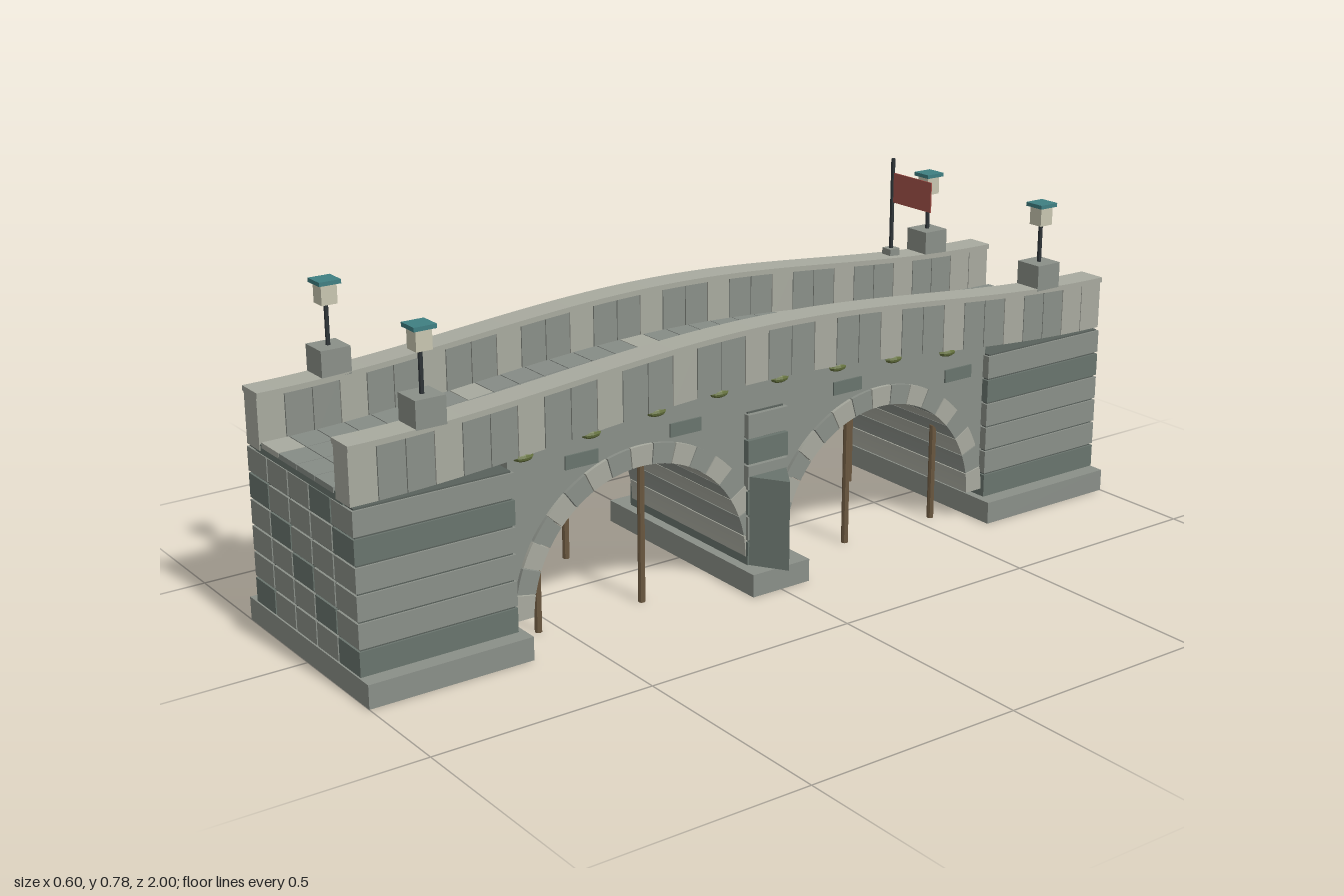
import * as THREE from 'three';

const mat = (color, side = THREE.FrontSide) =>
  new THREE.MeshStandardMaterial({ color, side, flatShading: true });
const M = {
  stone: mat(0x8a8f88), light: mat(0xa8aa9f), dark: mat(0x69746d), paving: mat(0x868c86),
  core: mat(0x59615c), wood: mat(0x6b5840), iron: mat(0x2d3336), teal: mat(0x3f7f82),
  glass: mat(0xc8c6b0), moss: mat(0x66733f), cloth: mat(0xa5524a, THREE.DoubleSide),
};

// Height of the hump added to everything that follows the roadway
const rise = z => 0.03 * (1 + Math.cos(Math.PI * z));

const SPAN = 0.325, SPRING = 0.07, R_IN = 0.27, R_OUT = 0.315;

export function createModel() {
  const root = new THREE.Group();
  root.name = 'stoneBridge';

  const group = name => {
    const g = new THREE.Group();
    g.name = name;
    root.add(g);
    return g;
  };
  const add = (parent, name, geo, material, x = 0, y = 0, z = 0) => {
    const m = new THREE.Mesh(geo, material);
    m.name = name;
    m.position.set(x, y, z);
    parent.add(m);
    return m;
  };
  // Box given by its lower and upper bounds
  const block = (parent, name, material, x0, x1, y0, y1, z0, z1) =>
    add(parent, name, new THREE.BoxGeometry(x1 - x0, y1 - y0, z1 - z0), material,
      (x0 + x1) / 2, (y0 + y1) / 2, (z0 + z1) / 2);
  // Box whose vertices are lifted along the hump
  const humpBlock = (parent, name, material, x0, x1, y0, y1, z0, z1, segs = 1) => {
    const geo = new THREE.BoxGeometry(x1 - x0, y1 - y0, z1 - z0, 1, 1, segs);
    geo.translate((x0 + x1) / 2, (y0 + y1) / 2, (z0 + z1) / 2);
    const p = geo.attributes.position;
    for (let i = 0; i < p.count; i++) p.setY(i, p.getY(i) + rise(p.getZ(i)));
    geo.computeVertexNormals();
    return add(parent, name, geo, material);
  };
  // Extrude a (z, y) outline across the width of the bridge
  const across = (shape, width) => {
    const geo = new THREE.ExtrudeGeometry(shape, { depth: width, bevelEnabled: false, curveSegments: 24 });
    return geo.translate(0, 0, -width / 2).rotateY(-Math.PI / 2);
  };

  // Abutments: footing, dark core showing in the joints, courses of long blocks
  const ROW = 0.0583, COL = 0.0925;
  for (const s of [1, -1]) {
    const g = group(s > 0 ? 'frontAbutment' : 'backAbutment');
    const zs = (a, b) => (s > 0 ? [a, b] : [-b, -a]);
    block(g, 'footing', M.stone, -0.262, 0.262, 0, 0.052, ...zs(0.625, 1));
    block(g, 'core', M.core, -0.224, 0.224, 0.05, 0.402, ...zs(0.645, 0.993));
    for (let r = 0; r < 6; r++) {
      for (let c = 0; c < 5; c++) {
        const x = -0.2315 + c * COL, y = 0.054 + r * ROW;
        block(g, 'abutmentBlock', (c + r) % 4 === 0 ? M.dark : M.stone,
          x + 0.0025, x + COL - 0.0025, y, y + ROW - 0.005, ...zs(0.64, 0.998));
      }
    }
  }

  // Spandrel wall with the two arch openings
  const wall = new THREE.Shape();
  wall.moveTo(-0.645, SPRING);
  for (let i = 0; i <= 32; i++) {
    const z = -0.645 + (1.29 * i) / 32;
    wall.lineTo(z, 0.405 + rise(z));
  }
  wall.lineTo(0.645, SPRING);
  wall.absarc(SPAN, SPRING, 0.29, 0, Math.PI, false);
  wall.absarc(-SPAN, SPRING, 0.29, 0, Math.PI, false);
  wall.closePath();
  const spandrel = group('spandrel');
  add(spandrel, 'spandrelWall', across(wall, 0.42), M.stone);
  for (const s of [1, -1]) {
    for (const [z, y] of [[0.21, 0.4], [-0.23, 0.405], [0.47, 0.385], [-0.56, 0.37]]) {
      block(spandrel, 'accentStone', M.dark, s * 0.21 - 0.004, s * 0.21 + 0.004,
        y - 0.015, y + 0.015, z - 0.04, z + 0.04);
    }
  }

  // Arch rings of full-width wedge stones
  const STONES = 17;
  for (const s of [1, -1]) {
    const g = group(s > 0 ? 'frontArch' : 'backArch');
    for (let i = 0; i < STONES; i++) {
      const a = (Math.PI * i) / STONES + 0.004, b = (Math.PI * (i + 1)) / STONES - 0.004;
      const wedge = new THREE.Shape();
      wedge.absarc(0, 0, R_OUT, a, b, false);
      wedge.absarc(0, 0, R_IN, b, a, true);
      wedge.closePath();
      const geo = new THREE.ExtrudeGeometry(wedge, { depth: 0.436, bevelEnabled: false, curveSegments: 3 });
      geo.translate(0, 0, -0.218).rotateY(-Math.PI / 2);
      add(g, 'archStone', geo, i % 2 ? M.stone : M.light, 0, SPRING, s * SPAN);
    }
    // Timber props reaching the underside of the arch
    for (const x of [-0.15, 0.15]) {
      for (const z of [0.283, 0.545]) {
        const top = SPRING + Math.sqrt(R_IN ** 2 - (z - SPAN) ** 2) + 0.005;
        add(g, 'timberProp', new THREE.CylinderGeometry(0.008, 0.008, top, 8), M.wood, x, top / 2, s * z);
      }
    }
  }

  // Central pier with pointed cutwaters
  const pier = group('pier');
  block(pier, 'pierFooting', M.stone, -0.276, 0.276, 0, 0.052, -0.077, 0.077);
  block(pier, 'pierCore', M.core, -0.214, 0.214, 0.05, 0.4, -0.048, 0.048);
  for (let r = 0; r < 6; r++) {
    const y = 0.052 + r * ROW;
    block(pier, 'pierBlock', r % 2 ? M.stone : M.dark, -0.225, 0.225, y, y + ROW - 0.005, -0.054, 0.054);
  }
  for (const s of [1, -1]) {
    const tri = new THREE.Shape([[0, -0.052], [0.08, 0], [0, 0.052]].map(p => new THREE.Vector2(...p)));
    const geo = new THREE.ExtrudeGeometry(tri, { depth: 0.205, bevelEnabled: false });
    geo.rotateX(-Math.PI / 2);
    const m = add(pier, 'cutwater', geo, M.dark, s * 0.222, 0.052, 0);
    if (s < 0) m.rotation.y = Math.PI;
  }

  // Roadway: curved slab with rows of paving stones
  const N = 32, STEP = 2 / N;
  const deck = group('deck');
  humpBlock(deck, 'deckSlab', M.dark, -0.19, 0.19, 0.4, 0.42, -0.997, 0.997, 32);
  for (let r = 0; r < N; r++) {
    for (let c = 0; c < 4; c++) {
      const x = -0.157 + c * 0.0785, z = -1 + r * STEP;
      humpBlock(deck, 'pavingStone', (r - c + 7) % 7 === 3 ? M.light : M.paving,
        x + 0.001, x + 0.0775, 0.415, 0.427, z + 0.001, z + STEP - 0.001);
    }
  }

  // Parapets: upright panels, coping and moss along the foot
  for (const s of [1, -1]) {
    const g = group(s > 0 ? 'leftParapet' : 'rightParapet');
    const xs = (a, b) => (s > 0 ? [a, b] : [-b, -a]);
    humpBlock(g, 'parapetCore', M.core, ...xs(0.17, 0.22), 0.408, 0.52, -0.997, 0.997, 32);
    for (let i = 0; i < N; i++) {
      const z = -1 + i * STEP;
      humpBlock(g, 'parapetPanel', i % 3 === 1 || i === 0 ? M.light : M.stone,
        ...xs(0.166, 0.224), 0.406, 0.52, z + 0.001, z + STEP - 0.001);
    }
    humpBlock(g, 'coping', M.light, ...xs(0.161, 0.228), 0.518, 0.53, -1, 1, 48);
    for (let i = 0; i < 8; i++) {
      const z = 0.61 - i * 0.1615;
      const m = add(g, 'mossTuft', new THREE.SphereGeometry(1, 8, 6), M.moss, s * 0.216, 0.402 + rise(z), z);
      m.scale.set(0.012, 0.01, 0.024);
    }
  }

  // Lamps on square pedestals
  for (const x of [-0.195, 0.195]) {
    for (const z of [-0.82, 0.82]) {
      const g = group('lamp');
      g.position.set(x, 0, z);
      add(g, 'pedestal', new THREE.BoxGeometry(0.068, 0.06, 0.068), M.stone, 0, 0.561, 0);
      add(g, 'lampPost', new THREE.CylinderGeometry(0.005, 0.005, 0.1, 8), M.iron, 0, 0.637, 0);
      add(g, 'lantern', new THREE.BoxGeometry(0.036, 0.044, 0.036), M.glass, 0, 0.702, 0);
      add(g, 'lanternRoof', new THREE.BoxGeometry(0.05, 0.009, 0.05), M.teal, 0, 0.7275, 0);
    }
  }

  // Flagpole on the right parapet
  const flag = group('flagpole');
  flag.position.set(-0.197, 0, -0.705);
  add(flag, 'poleBase', new THREE.BoxGeometry(0.03, 0.02, 0.03), M.stone, 0, 0.549, 0);
  add(flag, 'pole', new THREE.CylinderGeometry(0.005, 0.005, 0.235, 8), M.iron, 0, 0.6635, 0);
  add(flag, 'banner', new THREE.BoxGeometry(0.134, 0.073, 0.003), M.cloth, 0.072, 0.71, 0);

  return root;
}
